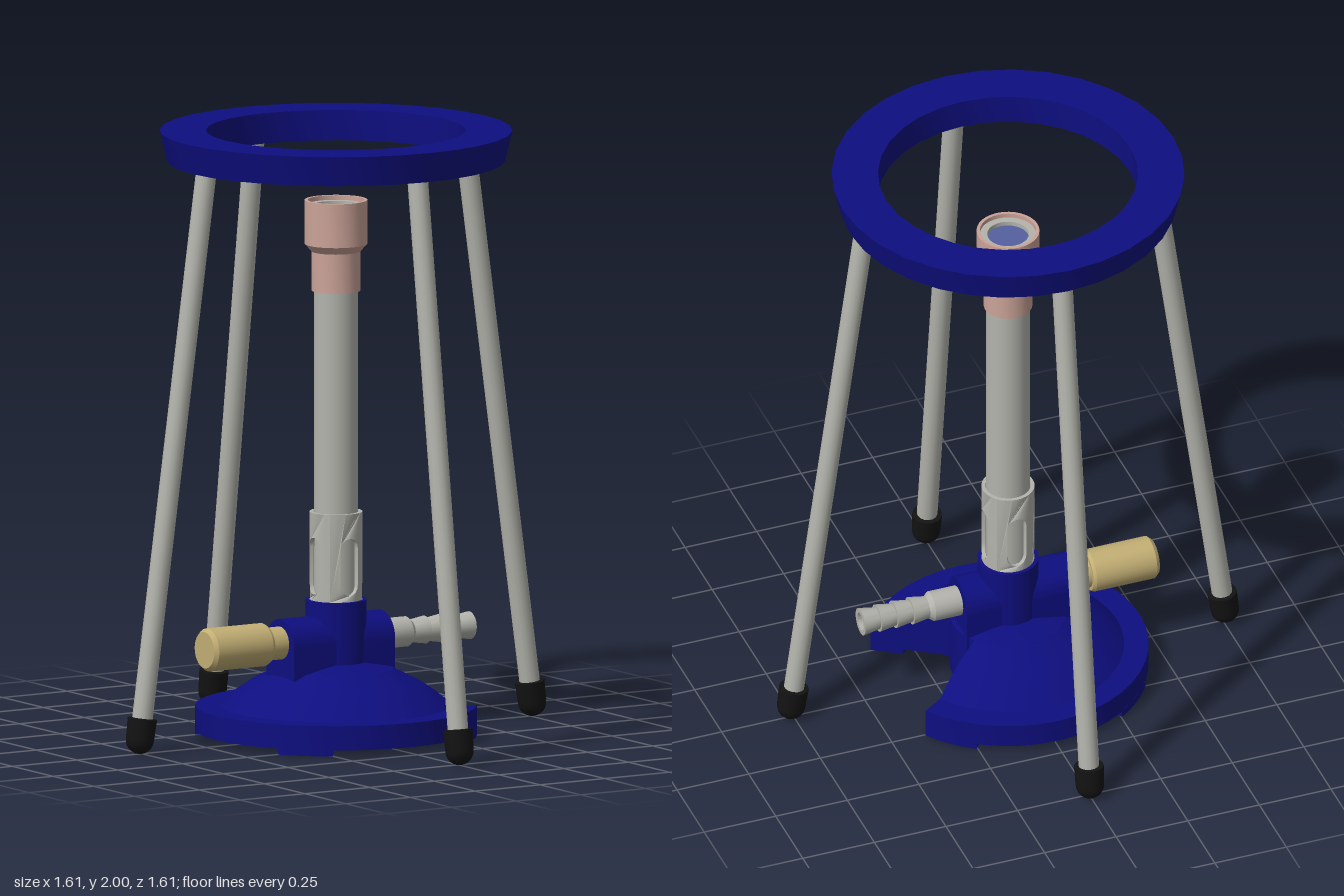
import * as THREE from 'three';
import { toCreasedNormals } from 'three/addons/utils/BufferGeometryUtils.js';

const material = (name, color, side = THREE.FrontSide) => {
  const m = new THREE.MeshStandardMaterial({ color, side });
  m.name = name;
  return m;
};
const deg = THREE.MathUtils.degToRad;
const vec = (pts) => pts.map(([x, y]) => new THREE.Vector2(x, y));

// Revolved profile with sharp edges kept; points are [radius, height], bottom to top
function lathe(pts, segments = 32, start = 0, length = Math.PI * 2) {
  return toCreasedNormals(new THREE.LatheGeometry(vec(pts), segments, start, length), deg(30));
}

// One quarter of the air collar: a flat panel with a rounded slot, bent round the tube
function collarQuarter(radius, thickness, height) {
  const a = Math.PI / 4, steps = 8, shape = new THREE.Shape();
  shape.moveTo(-a, 0);
  for (let i = 1; i <= steps; i++) shape.lineTo(-a + (2 * a * i) / steps, 0);
  for (let i = 0; i <= steps; i++) shape.lineTo(a - (2 * a * i) / steps, height);
  const w = 0.4, h = 0.034, low = 0.055, high = 0.175, slot = [];
  for (let i = 0; i <= 8; i++) {
    const t = (Math.PI * i) / 8;
    slot.push([w * Math.cos(t), high + h * Math.sin(t)]);
  }
  for (let i = 0; i <= 8; i++) {
    const t = Math.PI + (Math.PI * i) / 8;
    slot.push([w * Math.cos(t), low + h * Math.sin(t)]);
  }
  shape.holes.push(new THREE.Path(vec(slot)));
  const geo = new THREE.ExtrudeGeometry(shape, { depth: thickness, bevelEnabled: false });
  const p = geo.attributes.position;
  for (let i = 0; i < p.count; i++) {
    const u = p.getX(i), r = radius - thickness + p.getZ(i);
    p.setXYZ(i, r * Math.sin(u), p.getY(i), r * Math.cos(u));
  }
  return toCreasedNormals(geo, deg(30));
}

export function createModel() {
  const model = new THREE.Group();
  model.name = 'burnerAndStand';
  const blue = material('blueEnamel', 0x0e0e80, THREE.DoubleSide);
  const steel = material('steel', 0xb4b4ad);
  const copper = material('copper', 0xcba398);
  const brass = material('brass', 0xc2ae74);
  const rubber = material('blackRubber', 0x131313);
  const gauze = material('blueGrey', 0x5560a0);

  const add = (name, geo, mat, parent = model) => {
    const mesh = new THREE.Mesh(geo, mat);
    mesh.name = name;
    parent.add(mesh);
    return mesh;
  };

  // Stand: ring and four splayed legs with rubber feet
  add('standRing', lathe([[0.425, 1.9], [0.553, 1.9], [0.577, 2], [0.425, 2], [0.425, 1.9]], 32), blue);
  const footProfile = [];
  for (let i = 0; i <= 6; i++) {
    const t = (Math.PI / 2) * (i / 6);
    footProfile.push([0.047 * Math.sin(t), -0.047 * Math.cos(t)]);
  }
  footProfile.push([0.049, 0.07], [0.03, 0.072]);
  const footGeo = lathe(footProfile, 16);
  const legGeo = new THREE.CylinderGeometry(0.034, 0.034, 1.84, 14).translate(0, 0.97, 0);
  for (let i = 0; i < 4; i++) {
    const arm = new THREE.Group(), leg = new THREE.Group();
    arm.name = 'legMount' + (i + 1);
    leg.name = 'leg';
    arm.rotation.y = (i * Math.PI) / 2;
    leg.position.set(0.757, 0.047, 0);
    leg.rotation.z = Math.atan(0.138);
    add('legRod', legGeo, steel, leg);
    add('rubberFoot', footGeo, rubber, leg);
    arm.add(leg);
    model.add(arm);
  }

  // Base: stepped dome with a wedge cut out on the +x side
  const cut = deg(33.5);
  const start = Math.PI / 2 + cut, sweep = Math.PI * 2 - 2 * cut;
  const rim = [[0.19, 0.02], [0.46, 0.02], [0.46, 0.1], [0.38, 0.1], [0.33, 0.145], [0.27, 0.185], [0.19, 0.223]];
  add('baseDome', lathe(rim, 36, start, sweep), blue);
  add('baseCore', lathe([[0, 0.02], [0.19, 0.02], [0.19, 0.223], [0.1, 0.245], [0, 0.25]], 32), blue);
  const cutFace = new THREE.ShapeGeometry(new THREE.Shape(vec(rim)));
  for (const s of [-1, 1]) add('baseCutFace', cutFace, blue).rotation.y = s * cut;

  // Four pads under the base rim
  const padShape = new THREE.Shape();
  padShape.absarc(0, 0, 0.46, deg(33.5), deg(56.5), false);
  padShape.absarc(0, 0, 0.35, deg(56.5), deg(33.5), true);
  const padGeo = new THREE.ExtrudeGeometry(padShape, { depth: 0.025, bevelEnabled: false, curveSegments: 6 });
  padGeo.rotateX(-Math.PI / 2);
  for (let i = 0; i < 4; i++) add('basePad', padGeo, blue).rotation.y = (i * Math.PI) / 2;

  // Valve body: arched block across a vertical socket
  const arch = new THREE.Shape();
  arch.moveTo(-0.085, 0.1);
  arch.lineTo(0.085, 0.1);
  arch.absarc(0, 0.315, 0.085, 0, Math.PI, false);
  const archGeo = new THREE.ExtrudeGeometry(arch, { depth: 0.39, bevelEnabled: false, curveSegments: 16 });
  archGeo.rotateY(Math.PI / 2).translate(-0.215, 0, 0);
  add('valveBody', toCreasedNormals(archGeo, deg(30)), blue);
  add('tubeSocket', new THREE.CylinderGeometry(0.1, 0.1, 0.25, 32).translate(0, 0.325, 0), blue);

  // Air collar with four slots
  const quarter = collarQuarter(0.087, 0.013, 0.29);
  for (let i = 0; i < 4; i++) {
    const q = add('airCollar', quarter, steel);
    q.position.y = 0.45;
    q.rotation.y = (i * Math.PI) / 2;
  }

  // Burner tube and flared copper tip
  add('burnerTube', new THREE.CylinderGeometry(0.072, 0.072, 1.2, 28).translate(0, 1.05, 0), steel);
  add('burnerTip', lathe([[0.07, 1.47], [0.08, 1.47], [0.08, 1.6], [0.103, 1.625], [0.103, 1.77],
    [0.092, 1.77], [0.092, 1.75]]), copper);
  add('tipLiner', lathe([[0.094, 1.755], [0.068, 1.755], [0.068, 1.735]]), steel);
  add('tipGauze', new THREE.CircleGeometry(0.069, 28).rotateX(-Math.PI / 2).translate(0, 1.74, 0), gauze);

  // Hose connector with four barbs, pointing to +x
  const barb = [[0.05, 0.16], [0.05, 0.27], [0.037, 0.285]];
  for (let i = 0; i < 4; i++) {
    const x = 0.285 + i * 0.0575;
    barb.push([0.037, x], [0.046, x + 0.0575]);
  }
  barb.push([0.03, 0.515], [0.03, 0.4], [0, 0.4]);
  const hose = add('hoseConnector', lathe(barb, 20), steel);
  hose.rotation.z = -Math.PI / 2;
  hose.position.y = 0.32;

  // Brass adjusting knob, pointing to -x
  const knob = add('gasKnob', lathe([[0.054, 0.2], [0.054, 0.275], [0.065, 0.275], [0.071, 0.285],
    [0.071, 0.495], [0.06, 0.508], [0, 0.508]], 28), brass);
  knob.rotation.z = Math.PI / 2;
  knob.position.y = 0.322;

  return model;
}
